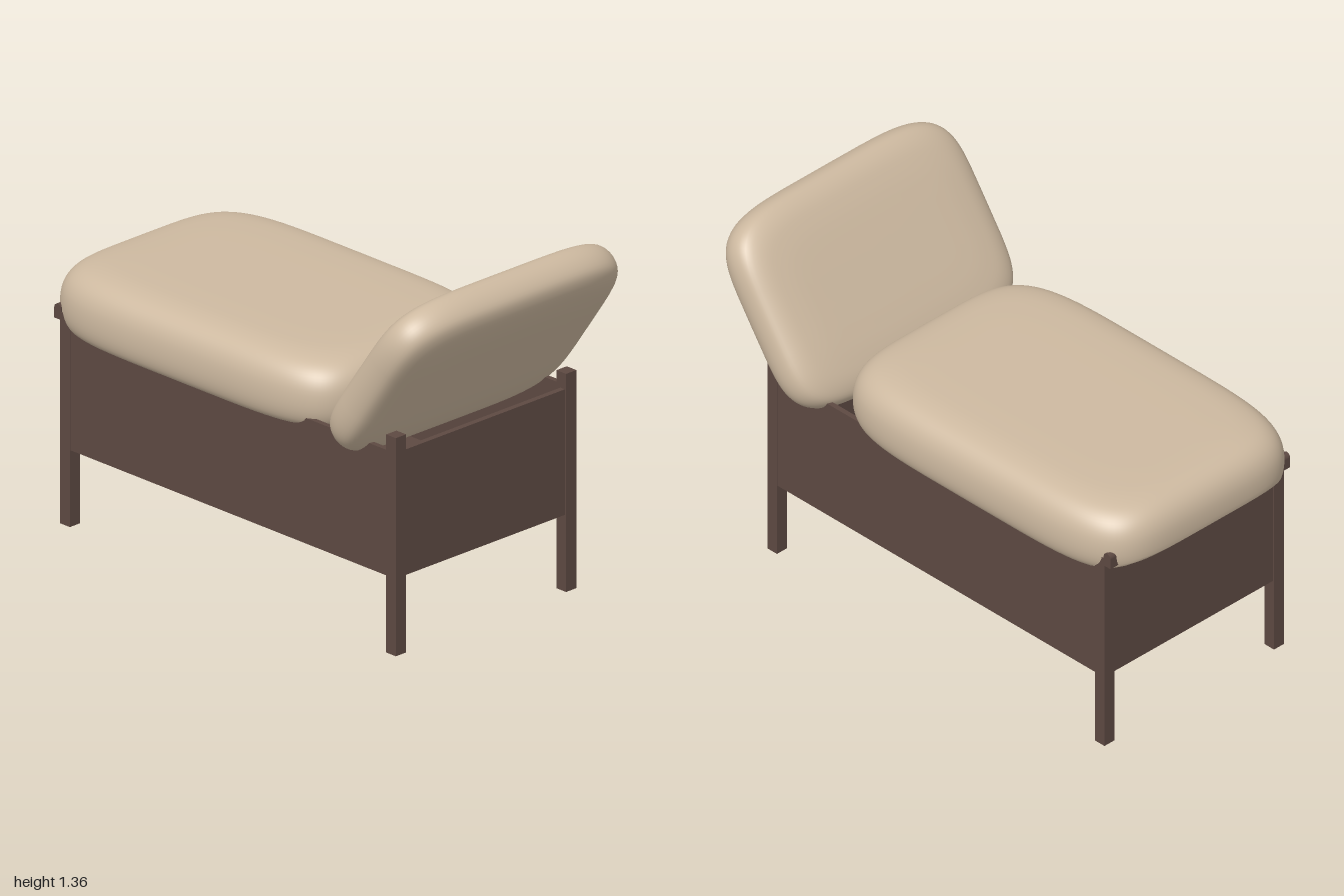
import * as THREE from 'three';

const cushionFabric = new THREE.MeshStandardMaterial({ color: 0xcdb9a0 });
cushionFabric.name = 'cushion fabric';
const darkWood = new THREE.MeshStandardMaterial({ color: 0x5d4942 });
darkWood.name = 'dark wood';

// Box given by its limits on each axis
function slab(name, x0, x1, y0, y1, z0, z1) {
  const mesh = new THREE.Mesh(new THREE.BoxGeometry(x1 - x0, y1 - y0, z1 - z0), darkWood);
  mesh.position.set((x0 + x1) / 2, (y0 + y1) / 2, (z0 + z1) / 2);
  mesh.name = name;
  return mesh;
}

// Padded cushion: rounded-rectangle rings following an [inset, y] profile, bottom to top
function cushionGeometry(halfX, halfZ, profile, power = 5) {
  const sides = 96, positions = [], indices = [];
  const curve = new THREE.CatmullRomCurve3(profile.map(([i, y]) => new THREE.Vector3(i, y, 0)), false, 'centripetal');
  const rows = curve.getPoints(profile.length * 4);
  const r = (c) => Math.sign(c) * Math.pow(Math.abs(c), 2 / power);
  positions.push(0, profile[0][1], 0);
  for (const p of rows) {
    for (let s = 0; s < sides; s++) {
      const a = (s / sides) * Math.PI * 2;
      positions.push((halfX - p.x) * r(Math.cos(a)), p.y, (halfZ - p.x) * r(Math.sin(a)));
    }
  }
  const top = positions.length / 3;
  positions.push(0, profile[profile.length - 1][1], 0);
  const last = 1 + (rows.length - 1) * sides;
  for (let s = 0; s < sides; s++) {
    const n = (s + 1) % sides;
    indices.push(0, 1 + s, 1 + n, top, last + n, last + s);
    for (let k = 0; k < rows.length - 1; k++) {
      const a = 1 + k * sides + s, b = 1 + k * sides + n;
      indices.push(a, a + sides, b, b, a + sides, b + sides);
    }
  }
  const geometry = new THREE.BufferGeometry();
  geometry.setAttribute('position', new THREE.Float32BufferAttribute(positions, 3));
  geometry.setIndex(indices);
  return geometry;
}

export function createModel() {
  const model = new THREE.Group();
  model.name = 'daybed';

  // Wooden frame: posts, side panels, end panels and floor
  const frame = new THREE.Group();
  frame.name = 'frame';
  for (const side of [1, -1]) {
    const zs = (a, b) => (side > 0 ? [a, b] : [-b, -a]);
    frame.add(slab('footPost', -0.9, -0.852, 0, 0.8, ...zs(0.39, 0.44)));
    frame.add(slab('headPost', 0.728, 0.776, 0, 0.825, ...zs(0.39, 0.44)));
    frame.add(slab('sidePanel', -0.852, 0.728, 0.29, 0.765, ...zs(0.417, 0.437)));
    // Round-topped peg at the foot corner
    frame.add(slab('footPeg', -0.93, -0.896, 0.77, 0.81, ...zs(0.39, 0.44)));
    const cap = new THREE.Mesh(new THREE.CylinderGeometry(0.017, 0.017, 0.05, 16), darkWood);
    cap.rotation.x = Math.PI / 2;
    cap.position.set(-0.913, 0.81, side * 0.415);
    cap.name = 'footPegCap';
    frame.add(cap);
  }
  frame.add(slab('headPanel', 0.748, 0.77, 0.29, 0.765, -0.39, 0.39));
  frame.add(slab('footPanel', -0.894, -0.872, 0.29, 0.765, -0.39, 0.39));
  frame.add(slab('floor', -0.872, 0.748, 0.32, 0.34, -0.417, 0.417));
  model.add(frame);

  // Seat cushion, its underside lifted where it overhangs the foot end
  const seatShape = cushionGeometry(0.725, 0.488, [
    [0.2, 0.71], [0.06, 0.715], [0.02, 0.733], [0, 0.78], [0, 0.865],
    [0.02, 0.917], [0.055, 0.95], [0.11, 0.968], [0.2, 0.975], [0.35, 0.977],
  ]);
  seatShape.translate(-0.275, 0, 0);
  const points = seatShape.attributes.position;
  for (let i = 0; i < points.count; i++) {
    const lift = -0.88 - points.getX(i);
    if (lift > 0) points.setY(i, Math.max(points.getY(i), 0.735 + lift * 0.45));
  }
  seatShape.computeVertexNormals();
  const seat = new THREE.Mesh(seatShape, cushionFabric);
  seat.name = 'seatCushion';
  model.add(seat);

  // Reclined back cushion
  const backShape = cushionGeometry(0.385, 0.545, [
    [0.25, -0.1], [0.14, -0.096], [0.06, -0.083], [0.015, -0.055], [0, 0],
    [0.015, 0.055], [0.06, 0.083], [0.14, 0.096], [0.25, 0.1],
  ]);
  backShape.computeVertexNormals();
  const back = new THREE.Mesh(backShape, cushionFabric);
  back.rotation.z = THREE.MathUtils.degToRad(55);
  back.position.set(0.715, 1.022, 0);
  back.name = 'backCushion';
  model.add(back);

  return model;
}
